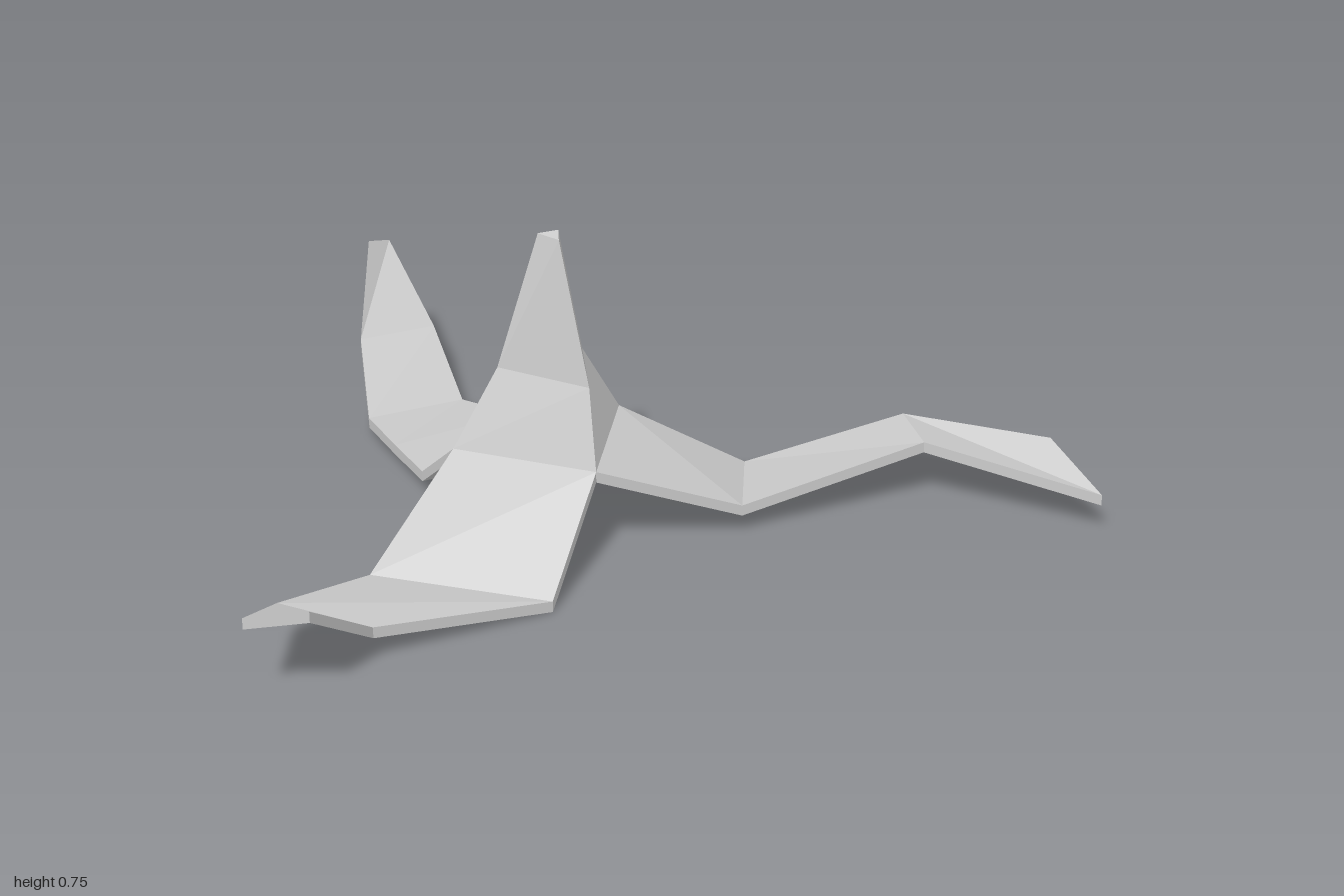
import * as THREE from 'three';

const THICK = 0.027;

// Hub corners where the spike and the three legs meet
const A = [-0.52, 0.225, 0.15];
const B = [-0.105, 0.215, -0.06];
const C = [-0.2, 0.228, 0.32];

const lower = ([x, y, z]) => [x, y - THICK, z];

// Skin a list of equal rings with flat quads; optionally close the ends
function skin(name, rings, material, capStart, capEnd) {
  const pos = [];
  const tri = (a, b, c) => pos.push(...a, ...b, ...c);
  const fan = (ring) => {
    for (let i = 1; i < ring.length - 1; i++) tri(ring[0], ring[i], ring[i + 1]);
  };
  for (let i = 0; i < rings.length - 1; i++) {
    const p = rings[i], q = rings[i + 1], n = p.length;
    for (let j = 0; j < n; j++) {
      const k = (j + 1) % n;
      tri(p[j], p[k], q[k]);
      tri(p[j], q[k], q[j]);
    }
  }
  if (capStart) fan([...rings[0]].reverse());
  if (capEnd) fan(rings[rings.length - 1]);
  const geometry = new THREE.BufferGeometry();
  geometry.setAttribute('position', new THREE.Float32BufferAttribute(pos, 3));
  geometry.computeVertexNormals();
  const mesh = new THREE.Mesh(geometry, material);
  mesh.name = name;
  return mesh;
}

// A leg is a bent slab: each station gives its left and right top corner, looking outward
function leg(name, stations, material) {
  const rings = stations.map(([l, r]) => [l, r, lower(r), lower(l)]);
  return skin(name, rings, material, false, true);
}

export function createModel() {
  const group = new THREE.Group();
  group.name = 'tripodSpike';
  const grey = new THREE.MeshStandardMaterial({ color: 0xcccccc, flatShading: true });
  grey.name = 'lightGrey';

  // Three-sided spike with its hub underside
  group.add(skin('spike', [
    [lower(A), lower(C), lower(B)],
    [A, C, B],
    [[-0.41, 0.42, 0.13], [-0.207, 0.41, 0.25], [-0.203, 0.42, 0.045]],
    [[-0.31, 0.755, 0.14], [-0.265, 0.75, 0.176], [-0.262, 0.757, 0.13]],
  ], grey, true, true));

  // Long leg toward the model's left
  group.add(leg('leftLeg', [
    [B, C],
    [[0.21, 0.032, -0.08], [0.155, 0.077, 0.24]],
    [[0.605, 0.145, -0.07], [0.615, 0.162, 0.13]],
    [[0.925, 0.16, 0.14], [1.0, 0.103, 0.345]],
  ], grey));

  // Leg toward the front right
  group.add(leg('frontRightLeg', [
    [C, A],
    [[-0.325, 0.03, 0.56], [-0.73, 0.05, 0.42]],
    [[-0.73, 0.09, 0.73], [-0.935, 0.112, 0.635]],
    [[-0.86, 0.246, 0.92], [-1.0, 0.223, 0.89]],
  ], grey));

  // Leg toward the back, curling upward at its tip
  group.add(leg('backLeg', [
    [A, B],
    [[-0.59, 0.075, -0.04], [-0.235, 0.07, -0.19]],
    [[-0.65, 0.06, -0.225], [-0.34, 0.06, -0.37]],
    [[-0.71, 0.05, -0.41], [-0.465, 0.03, -0.535]],
    [[-0.72, 0.165, -0.65], [-0.525, 0.152, -0.745]],
    [[-0.685, 0.353, -0.87], [-0.63, 0.332, -0.925]],
  ], grey));

  return group;
}
